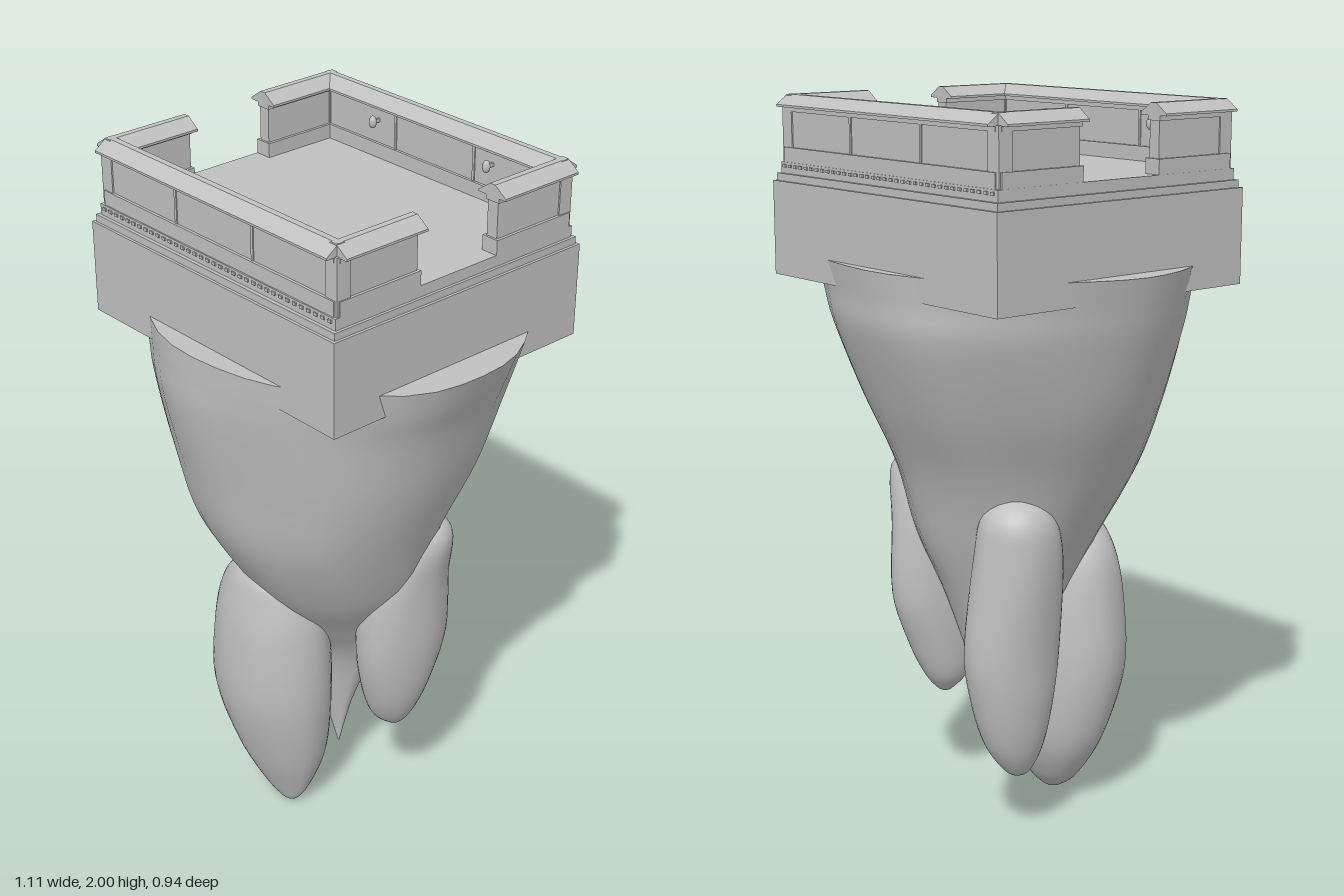
import * as THREE from 'three';

const stone = new THREE.MeshStandardMaterial({ color: 0xc0c0c0 });
stone.name = 'grey stone';

// Catmull-Rom blend of four values
function blend(a, b, c, d, t) {
  return 0.5 * (2 * b + (c - a) * t + (2 * a - 5 * b + 4 * c - d) * t * t + (3 * b - a - 3 * c + d) * t * t * t);
}

// Smooth rock body lofted through oval sections [y, xMin, xMax, zMin, zMax], listed from the top down
function rock(name, sections, bump, flatTop) {
  const sides = 40, steps = 5, rows = [];
  const at = i => sections[Math.max(0, Math.min(sections.length - 1, i))];
  for (let i = 0; i < sections.length - 1; i++) {
    for (let s = 0; s < steps; s++) {
      rows.push(at(i).map((v, k) => blend(at(i - 1)[k], v, at(i + 1)[k], at(i + 2)[k], s / steps)));
    }
  }
  rows.push(at(sections.length - 1));
  const pos = [], index = [];
  rows.forEach(([y, x0, x1, z0, z1], r) => {
    for (let j = 0; j < sides; j++) {
      const a = (j / sides) * Math.PI * 2;
      const f = 1 + bump * (Math.sin(5 * a + 4 * y) + 0.7 * Math.sin(9 * a - 6 * y + 1) - 0.6);
      pos.push((x0 + x1) / 2 + Math.cos(a) * f * (x1 - x0) / 2, y, (z0 + z1) / 2 + Math.sin(a) * f * (z1 - z0) / 2);
      if (r < rows.length - 1) {
        const p = r * sides + j, q = r * sides + (j + 1) % sides;
        index.push(p, q, p + sides, q, q + sides, p + sides);
      }
    }
  });
  // Flat top with its own vertices so the rim stays sharp
  if (flatTop) {
    const first = pos.length / 3;
    pos.push(...pos.slice(0, sides * 3), 0, sections[0][0], 0);
    for (let j = 0; j < sides; j++) index.push(first + sides, first + (j + 1) % sides, first + j);
  }
  const geo = new THREE.BufferGeometry();
  geo.setAttribute('position', new THREE.Float32BufferAttribute(pos, 3));
  geo.setIndex(index);
  geo.computeVertexNormals();
  const mesh = new THREE.Mesh(geo, stone);
  mesh.name = name;
  return mesh;
}

// Box given by its limits
function block(name, x0, x1, y0, y1, z0, z1) {
  const mesh = new THREE.Mesh(new THREE.BoxGeometry(x1 - x0, y1 - y0, z1 - z0), stone);
  mesh.position.set((x0 + x1) / 2, (y0 + y1) / 2, (z0 + z1) / 2);
  mesh.name = name;
  return mesh;
}

// Sloped coping with a narrow flat ridge, lying along z from 0 to length
function coping(length) {
  const s = new THREE.Shape();
  s.moveTo(-0.046, 1.968);
  s.lineTo(0.046, 1.968);
  s.lineTo(0.046, 1.974);
  s.lineTo(0.009, 2);
  s.lineTo(-0.009, 2);
  s.lineTo(-0.046, 1.974);
  s.closePath();
  const mesh = new THREE.Mesh(new THREE.ExtrudeGeometry(s, { depth: length, bevelEnabled: false }), stone);
  mesh.name = 'coping';
  return mesh;
}

// Parapet run: plinth, wall, moulding and coping along one axis
function parapet(name, alongX, c, from, to) {
  const g = new THREE.Group();
  g.name = name;
  const run = (part, half, y0, y1, grow) => g.add(alongX
    ? block(part, from - grow, to + grow, y0, y1, c - half, c + half)
    : block(part, c - half, c + half, y0, y1, from - grow, to + grow));
  run('plinth', 0.025, 1.82, 1.86, 0.006);
  run('wall', 0.017, 1.86, 1.97, 0);
  run('upper moulding', 0.022, 1.955, 1.97, 0.003);
  const top = coping(to - from + 0.01);
  if (alongX) {
    top.rotation.y = Math.PI / 2;
    top.position.set(from - 0.005, 0, c);
  } else top.position.set(c, 0, from - 0.005);
  g.add(top);
  return g;
}

export function createModel() {
  const model = new THREE.Group();
  model.name = 'floating stone terrace';

  // Main tapering rock and the three hanging lobes
  model.add(rock('mainRock', [
    [1.58, -0.555, 0.56, -0.468, 0.472], [1.5, -0.535, 0.53, -0.46, 0.472],
    [1.4, -0.508, 0.49, -0.45, 0.467], [1.2, -0.44, 0.435, -0.375, 0.43],
    [1.0, -0.345, 0.36, -0.285, 0.385], [0.8, -0.245, 0.285, -0.225, 0.275],
    [0.65, -0.19, 0.2, -0.165, 0.165], [0.5, -0.14, 0.13, -0.115, 0.065],
    [0.3, -0.06, 0.055, -0.055, 0.02], [0.13, 0.008, 0.012, -0.015, -0.011],
  ], 0.01, true));
  model.add(rock('frontLobe', [
    [0.86, -0.07, -0.05, 0.17, 0.19], [0.82, -0.15, 0.07, 0.1, 0.275],
    [0.74, -0.215, 0.112, 0.06, 0.305], [0.6, -0.242, 0.13, 0.035, 0.328],
    [0.4, -0.252, 0.13, 0.025, 0.328], [0.2, -0.205, 0.1, 0.04, 0.275],
    [0.07, -0.125, 0.055, 0.09, 0.22], [0.015, -0.055, 0.025, 0.14, 0.19], [0, -0.015, -0.005, 0.165, 0.175],
  ], 0.006));
  model.add(rock('leftLobe', [
    [1.02, 0.22, 0.24, -0.12, -0.1], [0.96, 0.17, 0.335, -0.18, -0.02],
    [0.8, 0.125, 0.325, -0.205, 0.075], [0.6, 0.12, 0.317, -0.212, 0.088],
    [0.45, 0.125, 0.295, -0.165, 0.06], [0.35, 0.14, 0.26, -0.12, 0.02],
    [0.3, 0.175, 0.225, -0.08, -0.03], [0.29, 0.195, 0.205, -0.06, -0.05],
  ], 0.006));
  model.add(rock('backRightLobe', [
    [0.98, -0.22, -0.2, -0.14, -0.12], [0.92, -0.305, -0.12, -0.225, -0.04],
    [0.8, -0.322, -0.09, -0.248, 0], [0.55, -0.302, -0.08, -0.275, 0.01],
    [0.4, -0.293, -0.09, -0.255, -0.01], [0.27, -0.27, -0.12, -0.215, -0.04],
    [0.19, -0.235, -0.165, -0.16, -0.08], [0.17, -0.205, -0.195, -0.125, -0.115],
  ], 0.006));

  // Base slab and stepped ledges
  model.add(block('baseSlab', -0.485, 0.46, 1.515, 1.77, -0.43, 0.41));
  model.add(block('lowerLedge', -0.477, 0.452, 1.77, 1.79, -0.422, 0.402));
  model.add(block('floorLedge', -0.468, 0.444, 1.79, 1.82, -0.413, 0.392));

  // Small dentils around the ledge
  const dentils = new THREE.Group();
  dentils.name = 'dentils';
  for (let i = 0; i < 36; i++) {
    const x = -0.455 + i * 0.025;
    for (const z of [-0.414, 0.393]) dentils.add(block('dentil', x, x + 0.012, 1.806, 1.814, z - 0.003, z + 0.003));
  }
  model.add(dentils);

  // Parapets: full runs at front and back, short returns beside the side openings
  const sideX = [-0.4425, 0.42], endZ = [-0.386, 0.363];
  model.add(parapet('frontParapet', true, endZ[1], -0.448, 0.427));
  model.add(parapet('backParapet', true, endZ[0], -0.448, 0.427));
  for (const x of sideX) {
    model.add(parapet('sideParapetFront', false, x, 0.125, 0.372));
    model.add(parapet('sideParapetBack', false, x, -0.395, -0.145));
  }

  // Corner posts, centre pilasters and inner wall knobs
  for (const z of endZ) {
    for (const x of sideX) model.add(block('cornerPost', x - 0.021, x + 0.021, 1.82, 1.97, z - 0.021, z + 0.021));
    for (const x of [-0.16, 0.135]) model.add(block('pilaster', x - 0.004, x + 0.004, 1.86, 1.96, z - 0.02, z + 0.02));
    const inner = z - Math.sign(z) * 0.042;
    for (const x of [-0.225, 0.203]) {
      const knob = new THREE.Mesh(new THREE.SphereGeometry(0.011, 12, 8), stone);
      knob.scale.y = 1.6;
      knob.position.set(x, 1.925, inner);
      knob.name = 'wallKnob';
      model.add(knob, block('knobBracket', x - 0.003, x + 0.003, 1.92, 1.93, Math.min(z, inner), Math.max(z, inner)));
    }
  }
  return model;
}
